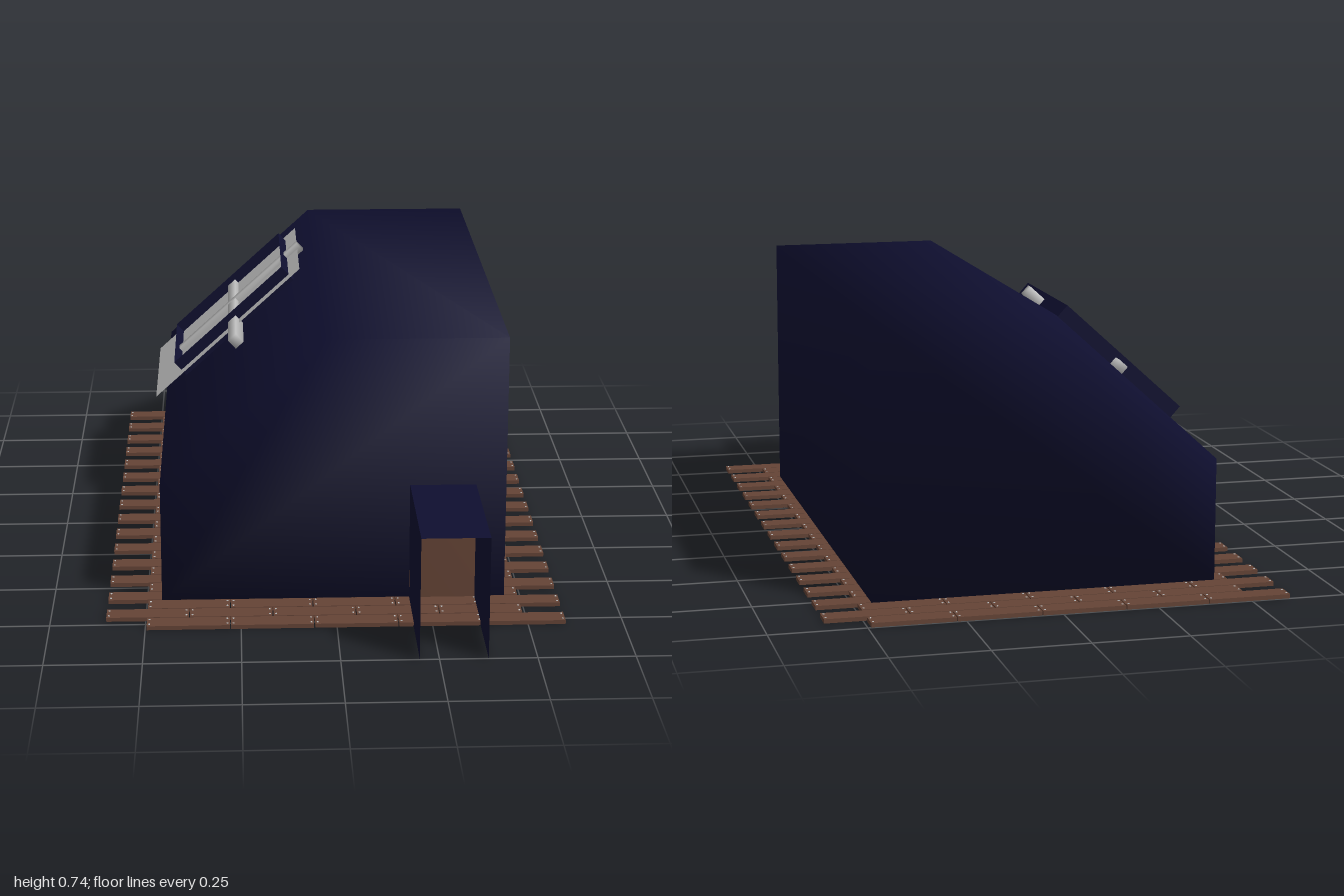
import * as THREE from 'three';
import { mergeVertices, mergeGeometries } from 'three/addons/utils/BufferGeometryUtils.js';

const mat = (name, color, side = THREE.FrontSide) => {
  const m = new THREE.MeshStandardMaterial({ color, side });
  m.name = name;
  return m;
};

// Share corners so the shading rolls softly over the edges
function soften(geometry) {
  geometry.deleteAttribute('normal');
  geometry.deleteAttribute('uv');
  const g = mergeVertices(geometry, 1e-4);
  g.computeVertexNormals();
  return g;
}

function add(parent, name, geometry, material, x = 0, y = 0, z = 0) {
  const mesh = new THREE.Mesh(geometry, material);
  mesh.name = name;
  mesh.position.set(x, y, z);
  parent.add(mesh);
  return mesh;
}

export function createModel() {
  const model = new THREE.Group();
  model.name = 'hut';
  const navy = mat('navy', 0x0f0f30, THREE.DoubleSide);
  const brown = mat('brown wood', 0x654436);
  const grey = mat('light grey', 0xc0c0c0);

  // Floor: staggered rows of short planks, nailed at each end
  const floor = new THREE.Group();
  floor.name = 'plankFloor';
  model.add(floor);
  const rows = 30, perRow = 5, pitch = 1.79 / rows, step = 0.2195, thick = 0.011;
  const planks = [], nails = [];
  for (let r = 0; r < rows; r++) {
    const z = -1 + pitch * (r + 0.5);
    const start = r % 2 ? -0.4975 : -0.605;
    for (let i = 0; i < perRow; i++) {
      const x = start + step * (i + 0.5);
      planks.push(new THREE.BoxGeometry(step - 0.003, thick, pitch - 0.004).translate(x, thick / 2, z));
      for (const sx of [-1, 1]) for (const sz of [-1, 1]) {
        nails.push(new THREE.CylinderGeometry(0.0028, 0.0028, 0.002, 6)
          .translate(x + sx * (step / 2 - 0.008), thick + 0.0005, z + sz * 0.016));
      }
    }
  }
  add(floor, 'planks', mergeGeometries(planks), brown);
  add(floor, 'nails', mergeGeometries(nails), grey);

  // Body: five-sided section with one sloping roof, run front to back
  const section = new THREE.Shape([
    [-0.46, 0.01], [0.455, 0.01], [0.455, 0.73], [-0.025, 0.73], [-0.46, 0.335],
  ].map(([x, y]) => new THREE.Vector2(x, y)));
  const bodyGeo = new THREE.ExtrudeGeometry(section, { depth: 1.43, bevelEnabled: false });
  add(model, 'body', soften(bodyGeo), navy, 0, 0, -0.82);

  // Porch: two thin walls and a roof, open in front and below
  const porch = new THREE.Group();
  porch.name = 'porch';
  model.add(porch);
  for (const [name, x] of [['porchWallRight', 0.2], ['porchWallLeft', 0.375]]) {
    add(porch, name, new THREE.PlaneGeometry(0.39, 0.327), navy, x, 0.1635, 0.805).rotation.y = Math.PI / 2;
  }
  add(porch, 'porchRoof', new THREE.PlaneGeometry(0.175, 0.39), navy, 0.2875, 0.327, 0.805).rotation.x = -Math.PI / 2;
  add(porch, 'door', soften(new THREE.BoxGeometry(0.175, 0.316, 0.01)), brown, 0.2875, 0.168, 0.612);

  // Skylight, laid on the slope: local x runs up the roof, local y points out of it
  const skylight = new THREE.Group();
  skylight.name = 'skylight';
  skylight.position.set(-0.26, 0.5166, -0.387);
  skylight.rotation.z = Math.atan2(0.395, 0.435);
  model.add(skylight);

  const pane = new THREE.PlaneGeometry(0.567, 0.49).rotateX(-Math.PI / 2);
  add(skylight, 'pane', pane, grey, -0.007, 0.022, 0);

  // Thin rim standing through the pane
  const u0 = -0.19, u1 = 0.235, rimDepth = 0.4, rimHeight = 0.053;
  for (const u of [u0, u1]) {
    add(skylight, 'rimEnd', new THREE.PlaneGeometry(rimDepth, rimHeight), navy, u, rimHeight / 2, 0).rotation.y = Math.PI / 2;
  }
  for (const s of [-1, 1]) {
    add(skylight, 'rimSide', new THREE.PlaneGeometry(u1 - u0, rimHeight), navy, (u0 + u1) / 2, rimHeight / 2, s * rimDepth / 2);
  }

  // Crossed glazing bars
  add(skylight, 'slopeBar', soften(new THREE.BoxGeometry(0.48, 0.029, 0.028)), grey, 0.047, 0.022, 0);
  add(skylight, 'crossBar', soften(new THREE.BoxGeometry(0.03, 0.032, 0.63)), grey, 0.024, 0.02, 0.077);

  return model;
}
